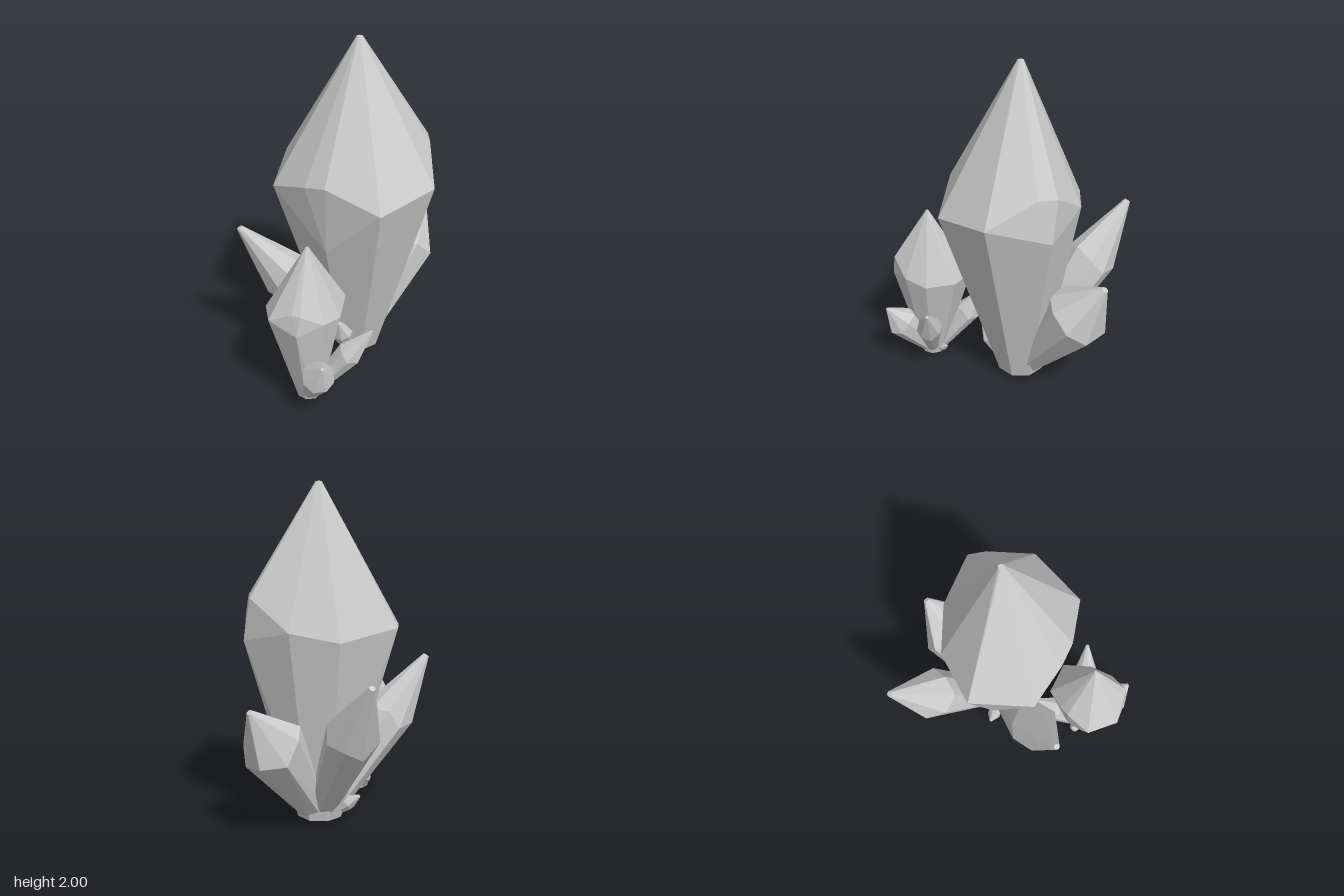
import * as THREE from 'three';
import { ConvexGeometry } from 'three/addons/geometries/ConvexGeometry.js';

const material = new THREE.MeshStandardMaterial({ color: 0xcccccc, flatShading: true });
const V = (x, y, z) => new THREE.Vector3(x, y, z);
const polar = (deg, r, y) => {
  const a = THREE.MathUtils.degToRad(deg);
  return V(r * Math.cos(a), y, r * Math.sin(a));
};
const ring = (sides, r, y, start = 22.5) =>
  Array.from({ length: sides }, (_, i) => polar(start + (i * 360) / sides, r, y));

function hull(name, points) {
  const mesh = new THREE.Mesh(new ConvexGeometry(points), material);
  mesh.name = name;
  return mesh;
}

// Large upright crystal: octagonal base, uneven shoulder, blunt tip
function mainCrystal() {
  const shoulder = [
    [22, 0.49, 1.13], [113, 0.49, 1.125], [157, 0.49, 1.18],
    [-158, 0.37, 1.12], [-112, 0.36, 1.17], [-22, 0.49, 1.19],
  ].map((p) => polar(...p));
  // Two shoulder corners are cut off by kite-shaped facets (top, sides, bottom)
  const frontCut = [V(0.145, 1.29, 0.35), V(0.065, 1.21, 0.41), V(0.195, 1.24, 0.365), V(0.152, 0.81, 0.33)];
  const backCut = [V(0.12, 1.51, -0.28), V(0.125, 1.34, -0.4), V(0.215, 1.34, -0.34), V(0.175, 1.09, -0.41)];
  return hull('mainCrystal', [
    ...ring(8, 0.138, 0), ...shoulder, ...frontCut, ...backCut, ...ring(8, 0.018, 1.97),
  ]);
}

// Leaning crystal between two points, widest at the fraction t of its length
function sideCrystal({ name, base, tip, baseR, r, t, tipR = 0.018, spin = 0 }) {
  const from = V(...base), dir = V(...tip).sub(from), length = dir.length();
  const uneven = [0.03, -0.02, 0.0, 0.04, -0.03, 0.02, -0.02, 0.01];
  const shoulder = ring(8, r, t * length, spin);
  shoulder.forEach((p, i) => { p.y += uneven[i] * length; });
  const mesh = hull(name, [
    ...ring(8, baseR, 0, spin), ...shoulder, ...ring(8, tipR, length, spin),
  ]);
  mesh.position.copy(from);
  mesh.quaternion.setFromUnitVectors(V(0, 1, 0), dir.normalize());
  return mesh;
}

// One main crystal with the smaller ones leaning out of its foot
function cluster(name) {
  const group = new THREE.Group();
  group.name = name;
  group.add(mainCrystal());
  [
    { name: 'rightCrystal', base: [-0.02, 0.03, -0.01], tip: [-0.685, 0.955, -0.22], baseR: 0.075, r: 0.153, t: 0.64, spin: 10 },
    { name: 'backCrystal', base: [0, 0.03, -0.03], tip: [-0.085, 0.76, -0.57], baseR: 0.085, r: 0.19, t: 0.68, spin: 20 },
    { name: 'frontCrystal', base: [-0.02, 0.03, 0.05], tip: [-0.215, 0.91, 0.665], baseR: 0.075, r: 0.148, t: 0.6, spin: 5 },
    { name: 'smallLeftCrystal', base: [0.04, 0.01, 0.09], tip: [0.11, 0.255, 0.21], baseR: 0.035, r: 0.062, t: 0.62, tipR: 0.012 },
    { name: 'smallRightCrystal', base: [-0.06, 0.01, 0.04], tip: [-0.215, 0.14, 0.12], baseR: 0.03, r: 0.042, t: 0.62, tipR: 0.01 },
  ].forEach((c) => group.add(sideCrystal(c)));
  return group;
}

export function createModel() {
  const model = new THREE.Group();
  model.name = 'crystals';

  const large = cluster('largeCluster');
  large.position.set(0.085, 0.03, -0.1);

  // Half-size cluster, turned, in front
  const small = cluster('smallCluster');
  small.position.set(0.335, 0.01, 0.42);
  small.rotation.y = THREE.MathUtils.degToRad(-117);
  small.scale.setScalar(0.5);

  model.add(large, small);
  return model;
}
